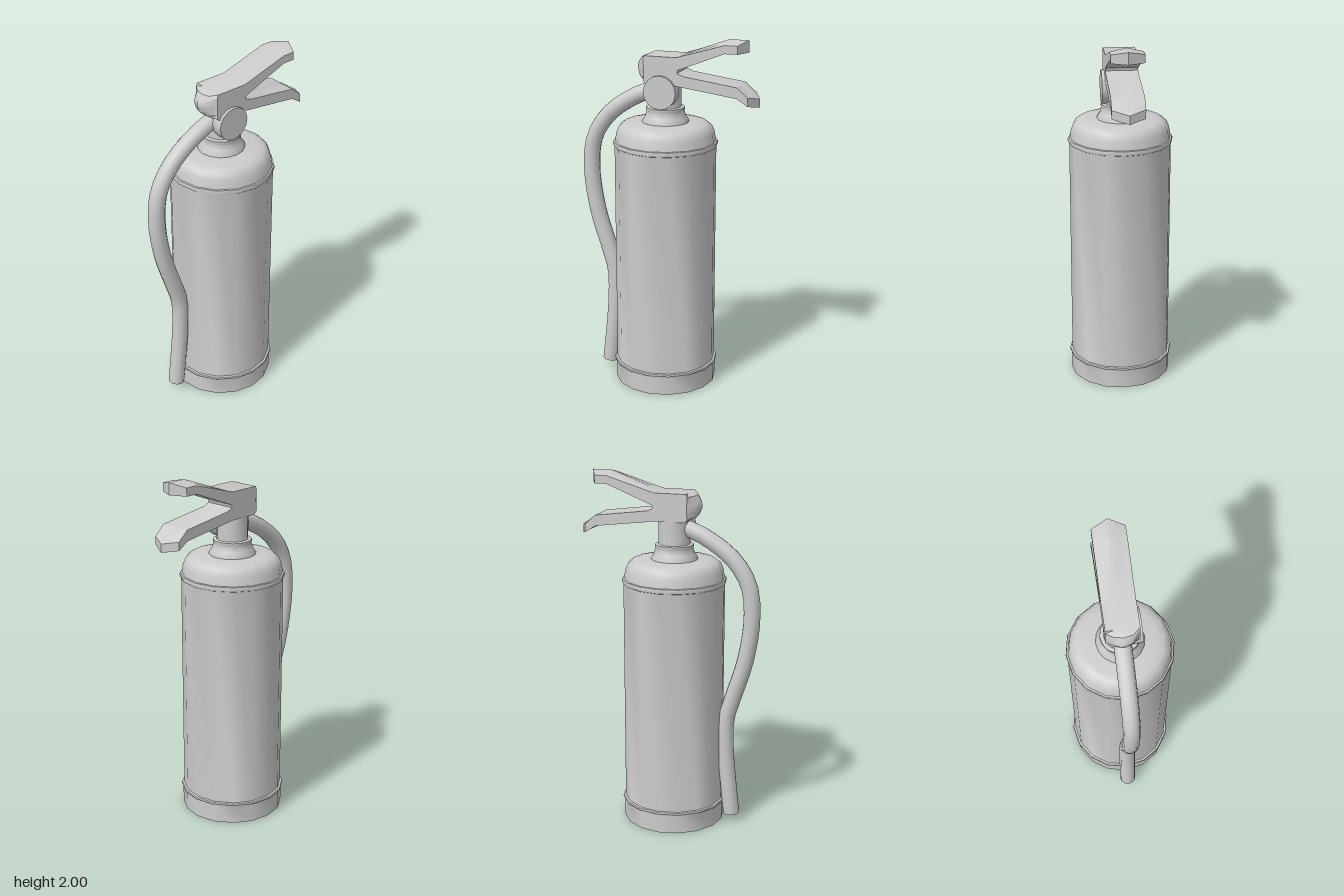
import * as THREE from 'three';
import { toCreasedNormals } from 'three/addons/utils/BufferGeometryUtils.js';

const AXIS_X = -0.02;
const SIDES = 16;
const vec2 = (points) => points.map(([x, y]) => new THREE.Vector2(x, y));

export function createModel() {
  const group = new THREE.Group();
  const material = new THREE.MeshStandardMaterial({ color: 0xcccccc });

  const add = (name, geometry, x = 0, y = 0, z = 0) => {
    const mesh = new THREE.Mesh(geometry, material);
    mesh.name = name;
    mesh.position.set(x, y, z);
    group.add(mesh);
    return mesh;
  };
  const turned = (name, profile) =>
    add(name, toCreasedNormals(new THREE.LatheGeometry(vec2(profile), SIDES), 0.7), AXIS_X);

  // Cylinder with base band, two raised rings and a rounded shoulder
  turned('tank', [
    [0, 0], [0.288, 0], [0.288, 0.108], [0.295, 0.11], [0.298, 0.117], [0.295, 0.125],
    [0.283, 0.127], [0.283, 1.393], [0.289, 1.396], [0.292, 1.408], [0.289, 1.42],
    [0.28, 1.422], [0.272, 1.47], [0.258, 1.503], [0.235, 1.52], [0.2, 1.527], [0, 1.53],
  ]);

  // Flared collar and the neck above it
  turned('neck', [
    [0.13, 1.525], [0.13, 1.535], [0.113, 1.56], [0.104, 1.59], [0.107, 1.598],
    [0.107, 1.61], [0.087, 1.613], [0.087, 1.77], [0, 1.77],
  ]);

  // Round pressure gauge facing the front
  const gauge = new THREE.CylinderGeometry(0.093, 0.093, 0.065, SIDES);
  gauge.rotateX(Math.PI / 2);
  add('gauge', toCreasedNormals(gauge, 0.7), AXIS_X, 1.705, 0.073);

  // Carrying handle and squeeze lever: one forked side profile
  const half = 0.088;
  const outline = new THREE.Shape(vec2([
    [-0.10, 1.745], [0.065, 1.745], [0.41, 1.70], [0.515, 1.643], [0.515, 1.69],
    [0.41, 1.76], [0.11, 1.80], [0.075, 1.815], [0.08, 1.832], [0.34, 1.935],
    [0.45, 1.935], [0.45, 2.0], [0.34, 2.0], [0.07, 1.90], [-0.11, 1.90],
    [-0.15, 1.885], [-0.175, 1.85], [-0.18, 1.825], [-0.165, 1.785], [-0.14, 1.76],
  ]));
  const handle = new THREE.ExtrudeGeometry(outline, { depth: 2 * half, steps: 4, bevelEnabled: false });
  handle.translate(0, 0, -half);
  // Taper the rear and both tips towards the sides
  const p = handle.attributes.position;
  for (let i = 0; i < p.count; i++) {
    let x = p.getX(i), y = p.getY(i);
    const t = Math.abs(p.getZ(i)) / half;
    if (x < -0.12) x += 0.065 * t * t * (-0.12 - x) / 0.06;
    else if (x > 0.5) { x -= 0.045 * t; y += 0.018 * t; }
    else if (x > 0.44) x -= 0.04 * t;
    if (y > 1.99) y -= 0.02 * t;
    p.setXY(i, x, y);
  }
  add('handle', toCreasedNormals(handle, 0.5));

  // Hose hanging from the neck down the side
  const path = new THREE.CatmullRomCurve3([
    [-0.05, 1.71], [-0.11, 1.695], [-0.22, 1.645], [-0.36, 1.54], [-0.445, 1.405],
    [-0.466, 1.225], [-0.434, 0.98], [-0.365, 0.75], [-0.33, 0.625], [-0.328, 0.44],
    [-0.35, 0.2], [-0.367, 0.048],
  ].map(([x, y]) => new THREE.Vector3(x, y, 0)));
  add('hose', new THREE.TubeGeometry(path, 28, 0.047, 12));

  // Closed end of the hose
  const end = path.getPoint(1);
  const cap = add('hoseEnd', new THREE.CircleGeometry(0.047, 12), end.x, end.y, end.z);
  cap.lookAt(end.clone().add(path.getTangent(1)));

  return group;
}
